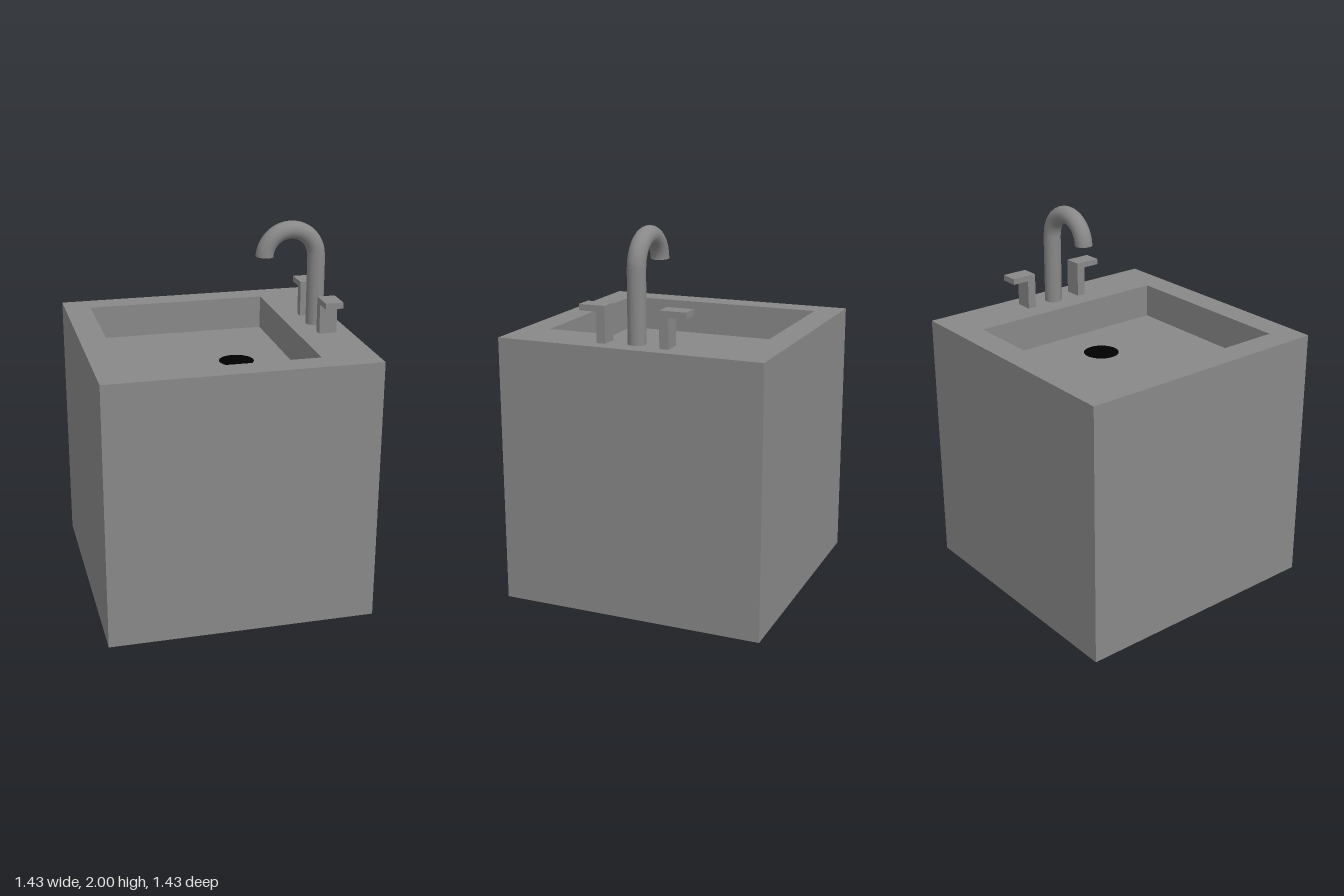
import * as THREE from 'three';

const TOP = 1.4286;   // counter height
const HALF = 0.7143;  // half the counter width
const FLOOR = 1.243;  // basin floor height

const grey = new THREE.MeshStandardMaterial({ color: 0x888888 });
const flatGrey = new THREE.MeshStandardMaterial({ color: 0x888888, flatShading: true });
const black = new THREE.MeshStandardMaterial({ color: 0x000000 });

function addMesh(parent, name, geometry, material, x = 0, y = 0, z = 0) {
  const mesh = new THREE.Mesh(geometry, material);
  mesh.name = name;
  mesh.position.set(x, y, z);
  parent.add(mesh);
  return mesh;
}

// Rectangle loop at height y, counter-clockwise seen from above
function rectLoop(x0, x1, z, y) {
  return [[x0, y, z], [x1, y, z], [x1, y, -z], [x0, y, -z]];
}

// Closed skin through a list of four-cornered loops
function skinLoops(loops) {
  const points = [];
  const quad = (a, b, c, d) => points.push(...a, ...b, ...c, ...a, ...c, ...d);
  for (let i = 0; i < loops.length - 1; i++) {
    for (let j = 0; j < 4; j++) {
      const k = (j + 1) % 4;
      quad(loops[i][j], loops[i][k], loops[i + 1][k], loops[i + 1][j]);
    }
  }
  quad(...[...loops[0]].reverse());
  quad(...loops[loops.length - 1]);
  const geometry = new THREE.BufferGeometry();
  geometry.setAttribute('position', new THREE.Float32BufferAttribute(points, 3));
  geometry.computeVertexNormals();
  return geometry;
}

export function createModel() {
  const model = new THREE.Group();
  model.name = 'sink';

  // Cabinet: up the outside, across the rim, down into the basin
  addMesh(model, 'cabinetWithBasin', skinLoops([
    rectLoop(-HALF, HALF, HALF, 0),
    rectLoop(-HALF, HALF, HALF, TOP),
    rectLoop(-0.5714, 0.4286, 0.5714, TOP),
    rectLoop(-0.5714, 0.4286, 0.5714, FLOOR),
  ]), flatGrey);

  // Drain
  const drain = new THREE.CircleGeometry(0.095, 40).rotateX(-Math.PI / 2);
  addMesh(model, 'drain', drain, black, 0.138, FLOOR + 0.003, 0);

  // Faucet: straight pipe with a slight step to the bent spout, and the spout's end
  const faucet = new THREE.Group();
  faucet.name = 'faucet';
  model.add(faucet);
  const pipe = 0.0476, bend = 0.1429, bendX = 0.43, bendY = 2 - bend - pipe, arc = 3.1;
  const stemHeight = bendY + 0.004 - TOP;
  addMesh(faucet, 'faucetPipe', new THREE.CylinderGeometry(pipe, pipe, stemHeight, 32), grey,
    bendX + bend + 0.002, TOP + stemHeight / 2, 0);
  addMesh(faucet, 'faucetSpout', new THREE.TorusGeometry(bend, pipe, 24, 48, arc), grey,
    bendX, bendY, 0);
  const end = new THREE.CircleGeometry(pipe, 24).rotateX(-Math.PI / 2).translate(bend, 0, 0).rotateZ(arc);
  addMesh(faucet, 'spoutEnd', end, grey, bendX, bendY, 0);

  // Two mirrored handles, each an upright with a lever pointing outwards
  for (const side of [1, -1]) {
    const handle = new THREE.Group();
    handle.name = side > 0 ? 'frontHandle' : 'backHandle';
    handle.position.set(0.588, TOP, 0);
    model.add(handle);
    addMesh(handle, 'handleUpright', new THREE.BoxGeometry(0.096, 0.16, 0.048), flatGrey,
      0, 0.08, side * 0.171);
    addMesh(handle, 'handleLever', new THREE.BoxGeometry(0.096, 0.032, 0.142), flatGrey,
      0, 0.175, side * 0.218);
  }

  return model;
}
